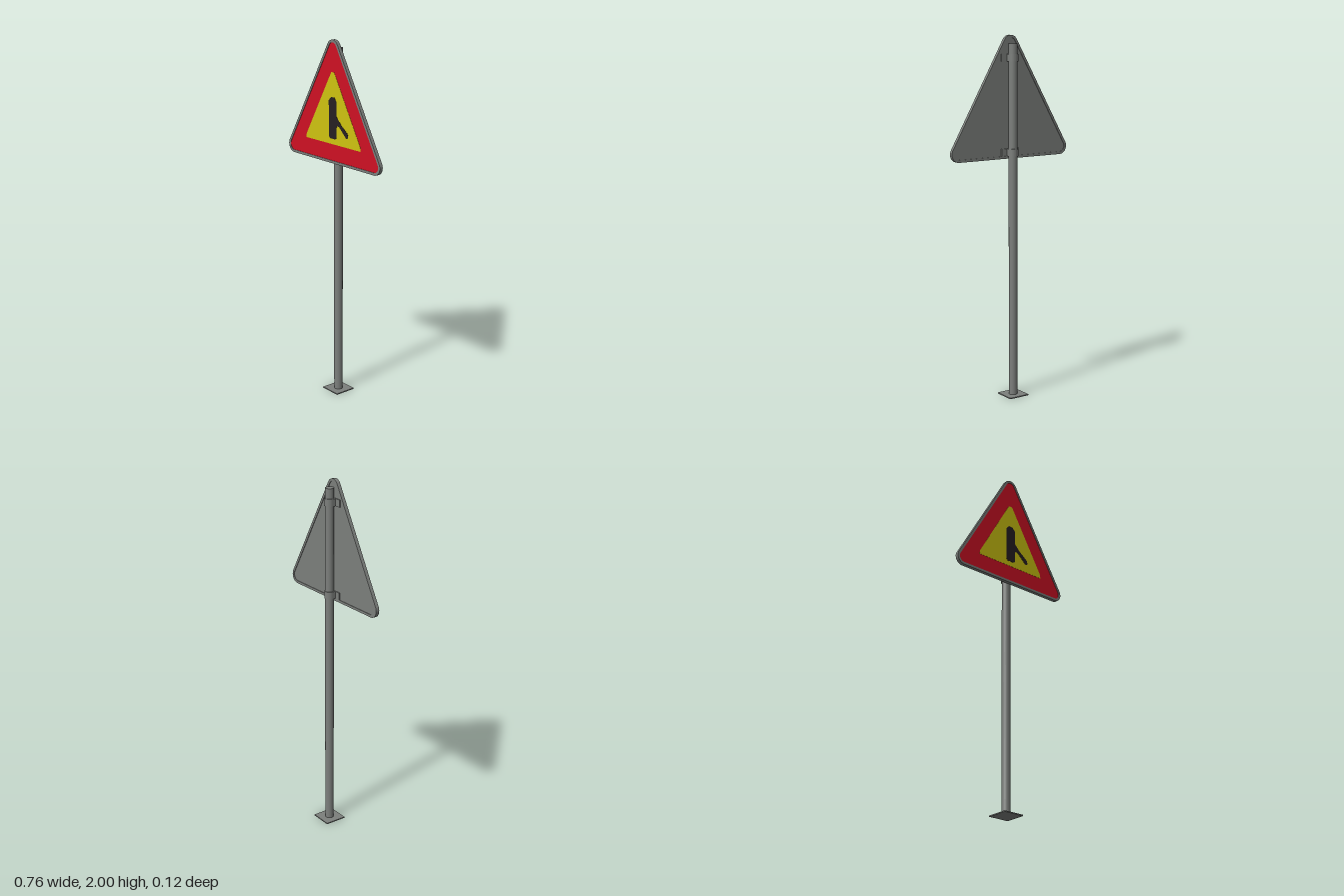
import * as THREE from 'three';

const material = (name, color) => {
  const m = new THREE.MeshStandardMaterial({ color });
  m.name = name;
  return m;
};

// Corner centres of the sign plate; the outline is rounded around them
const CORNERS = [[0.333, 1.38], [0, 1.955], [-0.333, 1.38]];

// Rounded triangle at distance r from the corner centres
function roundedTriangle(r, Type = THREE.Shape) {
  const s = new Type();
  CORNERS.forEach(([x, y], i) => {
    const mid = -Math.PI / 6 + i * Math.PI * 2 / 3;
    s.absarc(x, y, r, mid - Math.PI / 3, mid + Math.PI / 3, false);
  });
  s.closePath();
  return s;
}

const polygon = (points) => new THREE.Shape(points.map(([x, y]) => new THREE.Vector2(x, y)));

export function createModel() {
  const group = new THREE.Group();
  const grey = material('galvanised grey', 0x7c7f7c);
  const red = material('sign red', 0xd01024);
  const yellow = material('sign yellow', 0xcfc410);
  const black = material('symbol black', 0x262022);

  const add = (name, geometry, mat, x = 0, y = 0, z = 0) => {
    const mesh = new THREE.Mesh(geometry, mat);
    mesh.name = name;
    mesh.position.set(x, y, z);
    group.add(mesh);
    return mesh;
  };
  const extrude = (shape, depth) =>
    new THREE.ExtrudeGeometry(shape, { depth, bevelEnabled: false, curveSegments: 10 });

  // Base plate and pole
  add('basePlate', new THREE.BoxGeometry(0.124, 0.006, 0.124), grey, 0, 0.003, 0);
  add('pole', new THREE.CylinderGeometry(0.024, 0.024, 1.95, 28), grey, 0, 0.98, 0);

  // Raised rim around a slightly recessed panel
  const rim = roundedTriangle(0.045);
  rim.holes.push(roundedTriangle(0.031, THREE.Path));
  add('signRim', extrude(rim, 0.02), grey, 0, 0, 0.021);
  add('signPanel', extrude(roundedTriangle(0.032), 0.013), grey, 0, 0, 0.024);

  // Painted layers
  add('redBorder', extrude(roundedTriangle(0.0309), 0.0015), red, 0, 0, 0.037);
  const field = polygon([
    [-0.225, 1.44], [0.225, 1.44], [0.222, 1.463], [0.012, 1.828], [-0.012, 1.828], [-0.222, 1.463],
  ]);
  add('yellowField', extrude(field, 0.001), yellow, 0, 0, 0.0385);

  // Junction symbol: main road with a side road joining from below right
  const mainRoad = polygon([
    [-0.022, 1.47], [0.022, 1.47], [0.031, 1.48], [0.031, 1.675], [0.013, 1.695],
    [-0.013, 1.695], [-0.032, 1.675], [-0.032, 1.48],
  ]);
  const sideRoad = polygon([
    [0.03, 1.53], [0.036, 1.545], [0.052, 1.543], [0.112, 1.488], [0.126, 1.495],
    [0.122, 1.516], [0.066, 1.558], [0.03, 1.597],
  ]);
  add('mainRoadSymbol', extrude(mainRoad, 0.001), black, 0, 0, 0.0395);
  add('sideRoadSymbol', extrude(sideRoad, 0.001), black, 0, 0, 0.0395);

  // Clamps: U strap around the pole with flanges on the panel
  const strap = new THREE.Shape();
  strap.moveTo(0.024, 0.02);
  strap.lineTo(0.024, 0);
  strap.absarc(0, 0, 0.024, 0, -Math.PI, true);
  strap.lineTo(-0.024, 0.02);
  strap.lineTo(-0.062, 0.02);
  strap.lineTo(-0.062, 0.024);
  strap.lineTo(-0.062, 0.017);
  strap.lineTo(-0.028, 0.017);
  strap.lineTo(-0.028, 0);
  strap.absarc(0, 0, 0.028, -Math.PI, 0, false);
  strap.lineTo(0.028, 0.017);
  strap.lineTo(0.062, 0.017);
  strap.lineTo(0.062, 0.024);
  strap.lineTo(0.024, 0.024);
  strap.closePath();

  // Outline of one clamp seen from above (second axis is z)
  const outline = new THREE.Shape();
  outline.moveTo(-0.062, 0.024);
  outline.lineTo(-0.062, 0.018);
  outline.lineTo(-0.028, 0.018);
  outline.lineTo(-0.028, 0);
  outline.absarc(0, 0, 0.028, Math.PI, Math.PI * 2, false);
  outline.lineTo(0.028, 0.018);
  outline.lineTo(0.062, 0.018);
  outline.lineTo(0.062, 0.024);
  outline.closePath();
  for (const [name, y] of [['lowerClamp', 1.37], ['upperClamp', 1.88]]) {
    const clamp = add(name, extrude(outline, 0.04), grey, 0, y + 0.02, 0);
    clamp.rotation.x = Math.PI / 2;
  }

  return group;
}
